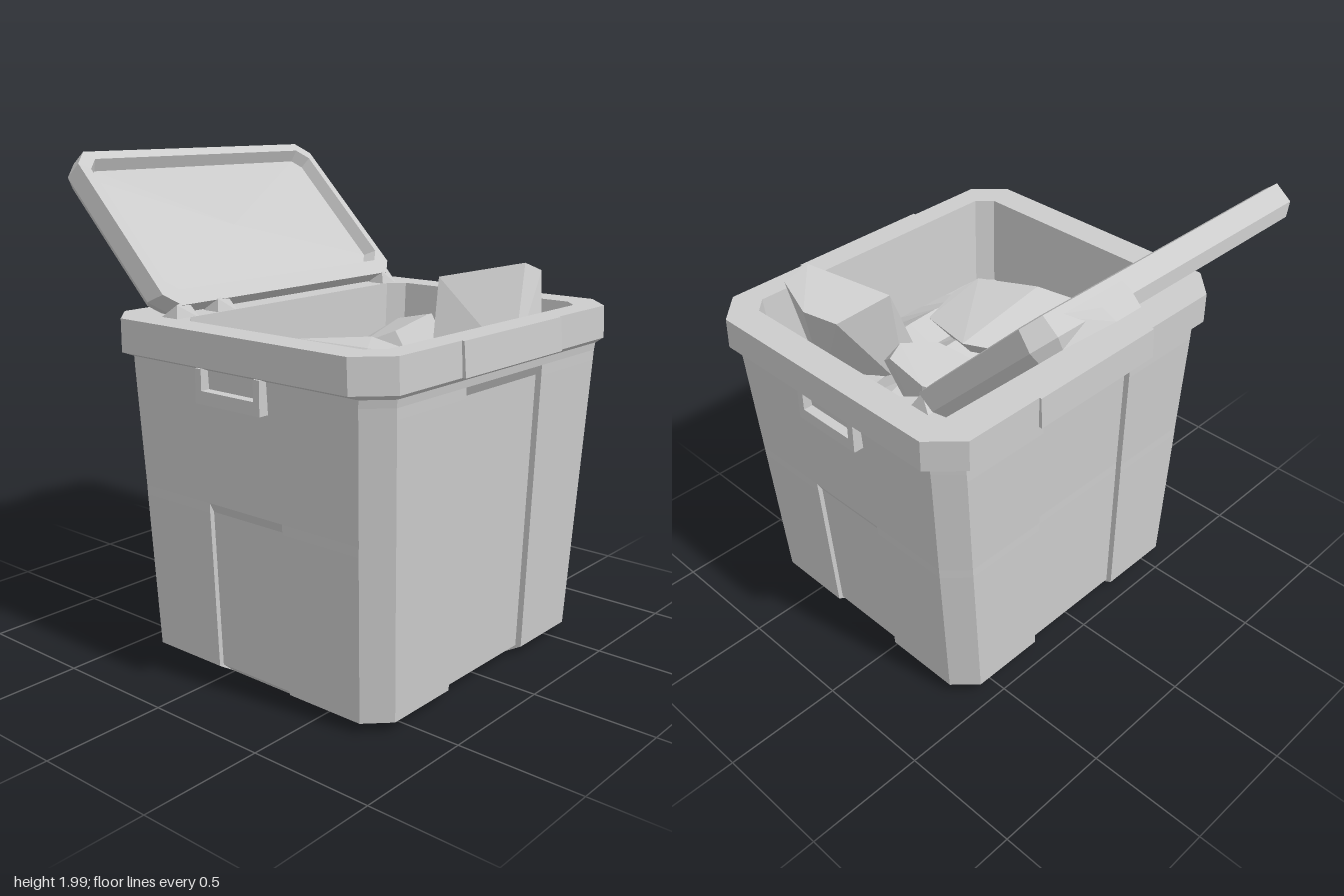
import * as THREE from 'three';
import { ConvexGeometry } from 'three/addons/geometries/ConvexGeometry.js';

const grey = new THREE.MeshStandardMaterial({ color: 0xcccccc, flatShading: true, side: THREE.DoubleSide });

function add(parent, name, geometry, x = 0, y = 0, z = 0) {
  const mesh = new THREE.Mesh(geometry, grey);
  mesh.name = name;
  mesh.position.set(x, y, z);
  parent.add(mesh);
  return mesh;
}

// Rectangle with cut corners; each side has a middle panel sunk by rx (x sides) or rz (z sides)
function contour({ y, x0, x1, z, c, rx = 0, rz = 0, wx = 0.25, wz = 0.185 }) {
  const cx = (x0 + x1) / 2, hx = (x1 - x0) / 2, points = [];
  const side = (half, w, rec, place) => {
    for (const [t, r] of [[c - half, 0], [-w, 0], [-w, rec], [w, rec], [w, 0], [half - c, 0]]) {
      const [px, pz] = place(t, r);
      points.push([px, y, pz]);
    }
  };
  side(z, wx, rx, (t, r) => [x1 - r, t]);
  side(hx, wz, rz, (t, r) => [cx - t, z - r]);
  side(z, wx, rx, (t, r) => [x0 + r, -t]);
  side(hx, wz, rz, (t, r) => [cx + t, r - z]);
  return points;
}

// Skin a list of contours and close both ends
function loft(sections) {
  const rings = sections.map(contour), n = rings[0].length;
  const pos = rings.flat(2), idx = [];
  for (let i = 0; i < rings.length - 1; i++) {
    for (let j = 0; j < n; j++) {
      const a = i * n + j, b = i * n + (j + 1) % n;
      idx.push(a, a + n, b, b, a + n, b + n);
    }
  }
  const cap = (s, start, flip) => {
    const centre = pos.length / 3;
    pos.push((s.x0 + s.x1) / 2, s.y + (s.bulge || 0), 0);
    for (let j = 0; j < n; j++) {
      const a = start + j, b = start + (j + 1) % n;
      idx.push(centre, flip ? b : a, flip ? a : b);
    }
  };
  cap(sections[0], 0, false);
  cap(sections[sections.length - 1], (rings.length - 1) * n, true);
  const g = new THREE.BufferGeometry();
  g.setAttribute('position', new THREE.Float32BufferAttribute(pos, 3));
  g.setIndex(idx);
  g.computeVertexNormals();
  return g;
}

const hull = (list) => new ConvexGeometry(list.map((p) => new THREE.Vector3(...p)));

export function createModel() {
  const model = new THREE.Group();
  model.name = 'openBin';

  // Tapered tub with sunk side panels, thick rim and inner walls
  add(model, 'tub', loft([
    { y: 0.01, x0: -0.36, x1: 0.71, z: 0.6, c: 0.09, rx: 0.02 },
    { y: 0.05, x0: -0.44, x1: 0.78, z: 0.665, c: 0.09, rx: 0.025, rz: 0.02 },
    { y: 0.69, x0: -0.45, x1: 0.805, z: 0.705, c: 0.09, rx: 0.025, rz: 0.02 },
    { y: 0.73, x0: -0.45, x1: 0.807, z: 0.707, c: 0.09, rx: 0.025 },
    { y: 1.18, x0: -0.46, x1: 0.825, z: 0.735, c: 0.09, rx: 0.025 },
    { y: 1.22, x0: -0.46, x1: 0.826, z: 0.738, c: 0.09 },
    { y: 1.25, x0: -0.46, x1: 0.83, z: 0.74, c: 0.09 },
    { y: 1.27, x0: -0.5, x1: 0.855, z: 0.79, c: 0.12, rx: -0.015, wx: 0.32 },
    { y: 1.4, x0: -0.5, x1: 0.85, z: 0.79, c: 0.12, rx: -0.01, wx: 0.32 },
    { y: 1.4, x0: -0.2, x1: 0.75, z: 0.66, c: 0.06 },
    { y: 1.0, x0: -0.19, x1: 0.72, z: 0.63, c: 0.06 },
  ]));

  // Carrying grip under the rim, front and back
  for (const s of [1, -1]) {
    const grip = new THREE.Group();
    grip.name = s > 0 ? 'frontGrip' : 'backGrip';
    add(grip, 'gripBar', new THREE.BoxGeometry(0.32, 0.05, 0.06), 0.165, 1.155, s * 0.745);
    for (const x of [0.02, 0.31]) {
      add(grip, 'gripBracket', new THREE.BoxGeometry(0.03, 0.12, 0.06), x, 1.2, s * 0.745);
    }
    model.add(grip);
  }

  // Lid, swung open on the side shelf
  const lid = new THREE.Group();
  lid.name = 'lid';
  lid.position.set(-0.32, 1.375, 0);
  lid.rotation.z = -Math.PI / 4;
  add(lid, 'lidShell', loft([
    { y: 0, x0: -0.74, x1: -0.02, z: 0.66, c: 0.06 },
    { y: 0.04, x0: -0.775, x1: 0, z: 0.69, c: 0.07 },
    { y: 0.12, x0: -0.765, x1: 0.02, z: 0.68, c: 0.06 },
    { y: 0.125, x0: -0.72, x1: -0.05, z: 0.64, c: 0.05 },
    { y: 0.075, x0: -0.7, x1: -0.08, z: 0.62, c: 0.04, bulge: -0.03 },
  ]));
  add(lid, 'lidTab', hull([
    [-0.74, 0, -0.6], [-0.74, 0, -0.27], [-0.79, -0.01, -0.4], [-0.79, -0.01, -0.28],
    [-0.79, 0.05, -0.42], [-0.79, 0.05, -0.28], [-0.76, 0.11, -0.6], [-0.76, 0.11, -0.27],
  ]));
  model.add(lid);

  // Hinge knuckles
  for (const [z, w] of [[-0.62, 0.1], [0.4, 0.11], [0.61, 0.12]]) {
    add(model, 'hingeKnuckle', hull([
      [-0.3, 1.39, z - w / 2], [-0.3, 1.39, z + w / 2], [-0.2, 1.39, z - w / 2], [-0.2, 1.39, z + w / 2],
      [-0.24, 1.46, z - w / 4], [-0.22, 1.45, z + w / 3],
    ]));
  }

  // Rough heap filling the tub
  const heap = new THREE.PlaneGeometry(0.93, 1.28, 7, 9).rotateX(-Math.PI / 2);
  const p = heap.attributes.position;
  for (let i = 0; i < p.count; i++) {
    const x = p.getX(i), z = p.getZ(i);
    const fall = Math.max(0, 1 - (x / 0.46) ** 2) * Math.max(0, 1 - (z / 0.63) ** 2);
    p.setY(i, fall * (0.16 + 0.05 * Math.sin(i * 2.4)));
  }
  heap.computeVertexNormals();
  add(model, 'heap', heap, 0.27, 1.01, 0);

  // Tilted carton standing above the rim
  add(model, 'carton', hull([
    [0.28, 1.5, -0.33], [0.6, 1.57, -0.47], [0.61, 1.53, -0.58], [0.45, 1.48, -0.62], [0.33, 1.45, -0.56],
    [0.4, 1.1, -0.11], [0.73, 1.22, -0.2], [0.72, 1.15, -0.42], [0.3, 1.0, -0.25], [0.6, 1.0, -0.45],
  ]));

  // Dented tub lying beside the carton
  add(model, 'dentedCup', hull([
    [-0.1, 1.2, -0.32], [-0.02, 1.28, -0.45], [0.16, 1.32, -0.45], [0.2, 1.33, -0.36], [0.16, 1.28, -0.2],
    [0.03, 1.22, -0.13], [-0.09, 1.16, -0.2], [0.28, 1.22, -0.38], [0.26, 1.16, -0.18],
    [0.05, 1.0, -0.4], [0.2, 1.0, -0.2],
  ]));

  // Crumpled bag with a steep front side
  add(model, 'crumpledBag', hull([
    [-0.02, 1.22, 0], [0.1, 1.26, -0.12], [0.36, 1.24, -0.06], [0.4, 1.27, 0.12], [0.37, 1.3, 0.24],
    [0.12, 1.32, 0.34], [0, 1.28, 0.42], [-0.08, 1.15, 0.45], [0.04, 1.05, 0.54], [0.17, 1.04, 0.54],
    [0.42, 1.06, 0.4], [0.44, 1.08, 0.12], [0.2, 1.0, 0.1],
  ]));
  return model;
}
